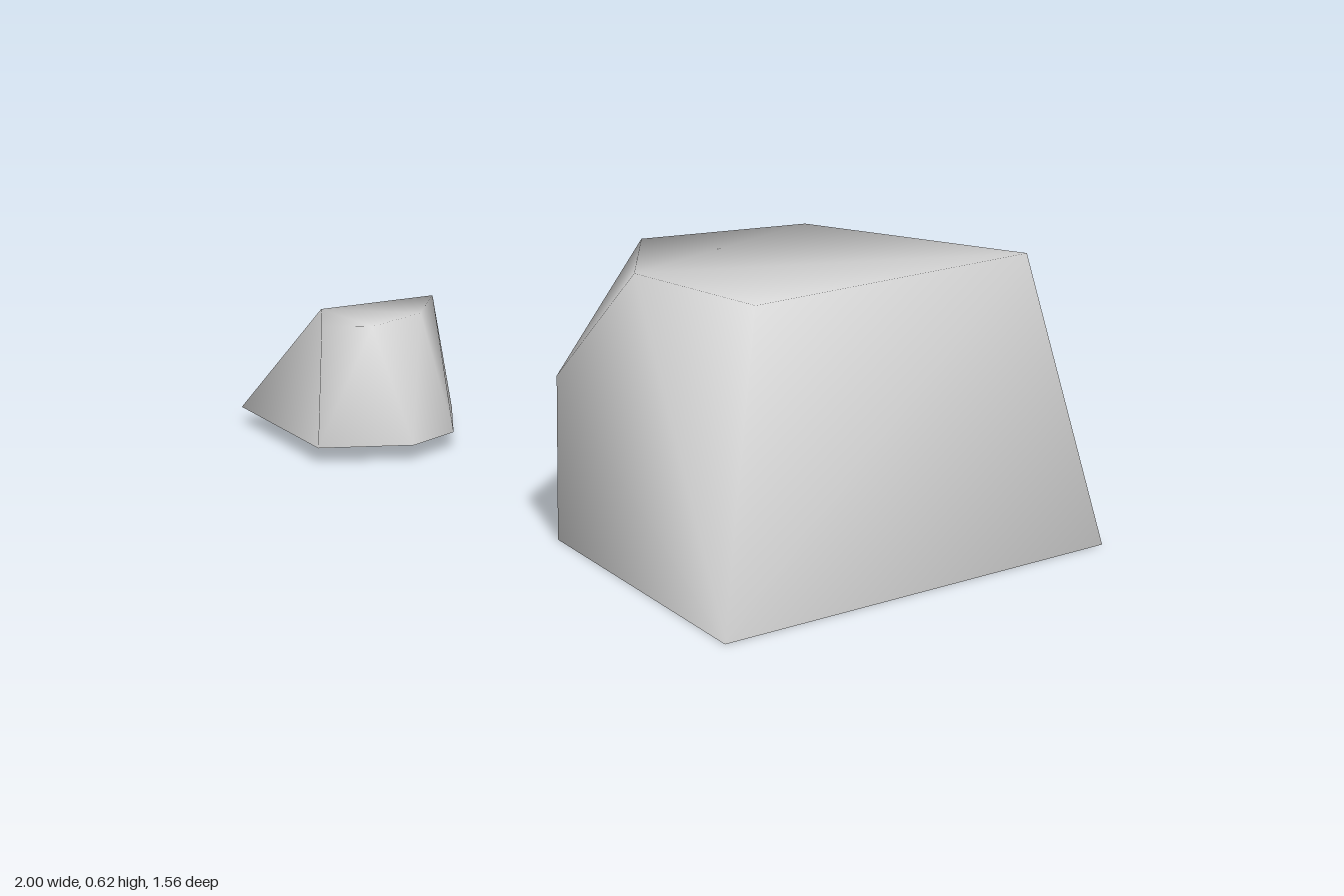
import * as THREE from 'three';

// Smooth, open-bottomed rock: corners as [x, y, z], faces as corner loops split into fans
function makeRock(name, corners, faces, material) {
  const index = [];
  for (const f of faces) {
    for (let i = 1; i < f.length - 1; i++) index.push(f[0], f[i], f[i + 1]);
  }
  const geometry = new THREE.BufferGeometry();
  geometry.setAttribute('position', new THREE.Float32BufferAttribute(corners.flat(), 3));
  geometry.setIndex(index);
  geometry.computeVertexNormals();
  const mesh = new THREE.Mesh(geometry, material);
  mesh.name = name;
  return mesh;
}

// Places a ring of [x, z] points at one height
const ring = (y, points) => points.map(([x, z]) => [x, y, z]);

export function createModel() {
  const group = new THREE.Group();
  group.name = 'rocks';
  const stone = new THREE.MeshStandardMaterial({ color: 0xcccccc, side: THREE.DoubleSide });
  stone.name = 'stone grey';

  // Large block: four-sided base, one chipped corner, five-sided top
  group.add(makeRock('largeRock', [
    ...ring(0, [[-0.15, 0.18], [0.21, 0.78], [1.0, 0.16], [0.48, -0.4]]),
    [-0.15, 0.36, 0.18],
    ...ring(0.62, [[0.02, 0.36], [0.26, 0.63], [0.82, 0.13], [0.37, -0.16], [0.02, 0.02]]),
  ], [
    [1, 2, 7, 6],       // front
    [2, 3, 8, 7],       // side
    [9, 8, 3, 0, 4],    // back
    [1, 6, 5, 4, 0],    // narrow side
    [4, 5, 9],          // chipped corner
    [5, 6, 7, 8, 9],    // top
  ], stone));

  // Small stone: six-sided base, five-sided top
  group.add(makeRock('smallRock', [
    ...ring(0.04, [[-1, -0.69], [-0.75, -0.34], [-0.53, -0.375], [-0.45, -0.49], [-0.48, -0.71], [-0.58, -0.78]]),
    ...ring(0.31, [[-0.78, -0.61], [-0.75, -0.44], [-0.63, -0.44], [-0.535, -0.58], [-0.53, -0.77]]),
  ], [
    [6, 0, 1, 7], [1, 2, 8, 7], [2, 3, 9, 8], [3, 4, 10, 9], [4, 5, 10], [10, 5, 0, 6],
    [6, 7, 8, 9, 10],   // top
  ], stone));

  return group;
}
